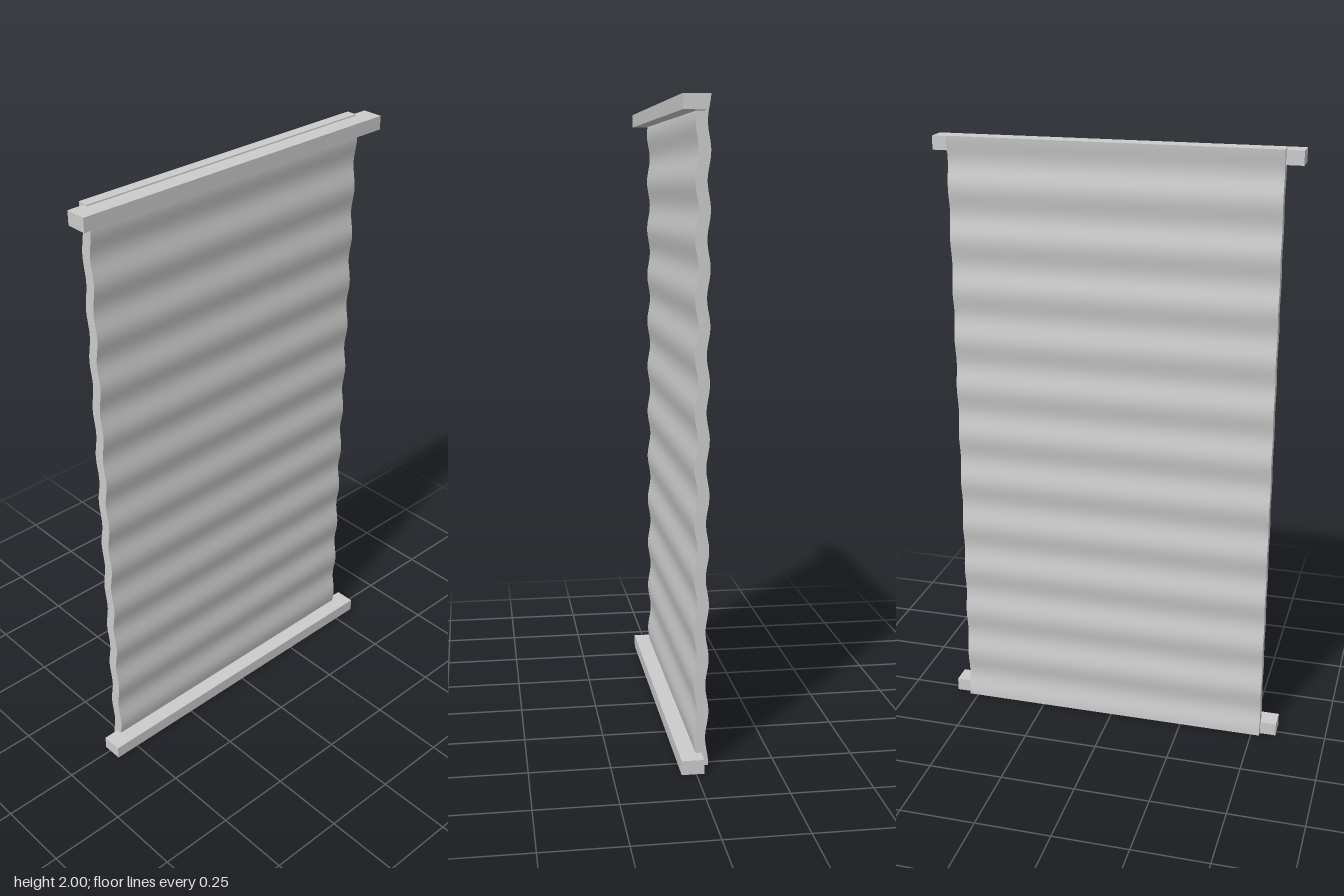
import * as THREE from 'three';

export function createModel() {
  const group = new THREE.Group();
  const material = new THREE.MeshStandardMaterial({ color: 0xcccccc });

  // Hanging sheet with gentle horizontal ripples on both faces
  const height = 1.997, waveLength = 1 / 6, amplitude = 0.005;
  const sheetGeometry = new THREE.BoxGeometry(1.058, height, 0.035, 1, 144, 1);
  sheetGeometry.translate(0, 2 - height / 2, -0.0225);
  const pos = sheetGeometry.attributes.position;
  for (let i = 0; i < pos.count; i++) {
    const phase = ((pos.getY(i) - 0.05) / waveLength) * Math.PI * 2;
    pos.setZ(i, pos.getZ(i) + amplitude * Math.sin(phase));
  }
  sheetGeometry.computeVertexNormals();
  const sheet = new THREE.Mesh(sheetGeometry, material);
  sheet.name = 'rippledSheet';
  group.add(sheet);

  // Rails across the top and bottom, set forward of the sheet
  const railGeometry = new THREE.BoxGeometry(1.166, 0.044, 0.069);
  for (const [name, y] of [['topRail', 1.974], ['bottomRail', 0.022]]) {
    const rail = new THREE.Mesh(railGeometry, material);
    rail.name = name;
    rail.position.set(0, y, 0.0105);
    group.add(rail);
  }
  return group;
}
